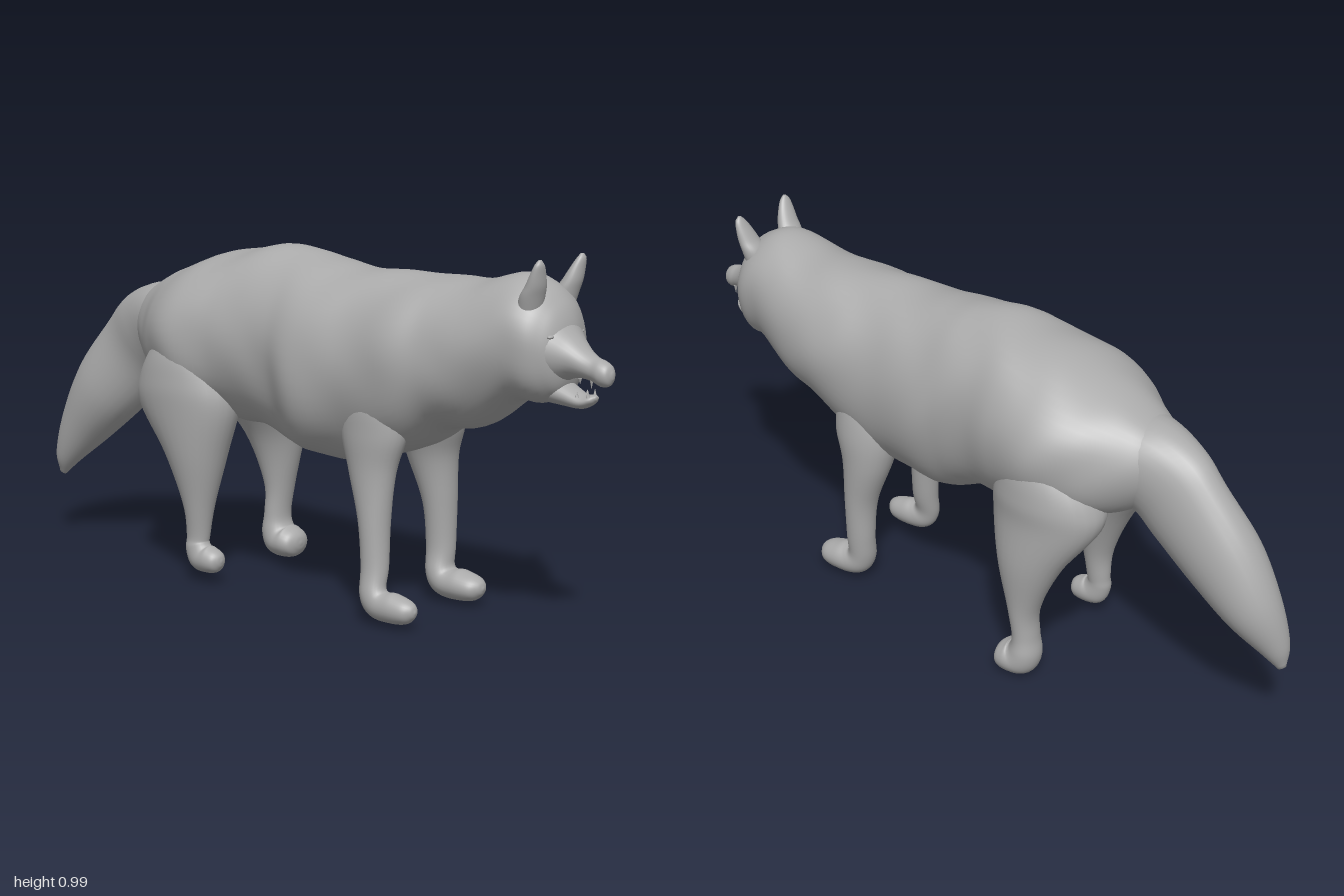
import * as THREE from 'three';

const fur = new THREE.MeshStandardMaterial({ color: 0xaaaaaa });
fur.name = 'grey fur';

const FLAT = Math.PI / 2; // ring tilt where a limb runs vertically

// Smooth skin over elliptical rings: [x, y, z, halfWidth, halfHeight, tilt]
// bump adds tufts of fur; full below 1 makes the lower half of each ring squarer
function loft(name, rings, { sides = 28, steps = 6, bump = 0, full = 1 } = {}) {
  const path = new THREE.CatmullRomCurve3(
    rings.map(r => new THREE.Vector3(r[0], r[1], r[2])), false, 'catmullrom', 0.5);
  const size = new THREE.CatmullRomCurve3(
    rings.map(r => new THREE.Vector3(r[3], r[4], r[5] || 0)), false, 'catmullrom', 0.5);
  const n = (rings.length - 1) * steps;
  const pos = [], index = [];
  for (let i = 0; i <= n; i++) {
    const c = path.getPoint(i / n), s = size.getPoint(i / n);
    for (let j = 0; j < sides; j++) {
      const a = (j / sides) * Math.PI * 2;
      const k = 1 + bump * (Math.sin(c.z * 31 + 2 * Math.sin(a * 3)) + Math.sin(a * 5 + c.z * 17));
      const cos = Math.cos(a), sin = Math.sin(a);
      const across = Math.sign(cos) * Math.abs(cos) ** (sin < 0 ? full : 1);
      const u = across * s.x * k, v = sin * s.y * k;
      pos.push(c.x + u, c.y + v * Math.cos(s.z), c.z + v * Math.sin(s.z));
    }
  }
  for (let i = 0; i < n; i++) {
    for (let j = 0; j < sides; j++) {
      const a = i * sides + j, b = i * sides + (j + 1) % sides;
      index.push(a, b, b + sides, a, b + sides, a + sides);
    }
  }
  // End caps
  [0, n].forEach(i => {
    const c = path.getPoint(i / n), centre = pos.length / 3;
    pos.push(c.x, c.y, c.z);
    for (let j = 0; j < sides; j++) {
      const a = i * sides + j, b = i * sides + (j + 1) % sides;
      if (i === 0) index.push(centre, b, a);
      else index.push(centre, a, b);
    }
  });
  // Turn the skin outward whichever way the rings run
  let volume = 0;
  const p = k => new THREE.Vector3().fromArray(pos, index[k] * 3);
  for (let k = 0; k < index.length; k += 3) volume += p(k).dot(p(k + 1).cross(p(k + 2)));
  if (volume < 0) index.reverse();

  const g = new THREE.BufferGeometry();
  g.setAttribute('position', new THREE.Float32BufferAttribute(pos, 3));
  g.setIndex(index);
  g.computeVertexNormals();
  const mesh = new THREE.Mesh(g, fur);
  mesh.name = name;
  return mesh;
}

// Vertical limb from rings [x, y, z, halfWidth, halfDepth], with an optional bent end
const limb = (name, rings, end = []) => loft(name, [...rings.map(r => [...r, FLAT]), ...end]);

// Paw rings that bend a leg forward: heel to toe along z, w and h are half sizes
const paw = (x, y, heel, toe, w, h) => [
  [0.18, 0.035, 0.88, 0.95, 1.25],
  [0.32, 0.006, 0.95, 1.1, 0.7],
  [0.6, 0, 1, 1, 0.12],
  [0.84, -0.002, 0.85, 0.8, 0],
  [0.96, 0, 0.45, 0.45, 0],
  [1, 0, 0.08, 0.08, 0],
].map(([t, dy, sw, sh, tilt]) => [x, y + dy, heel + (toe - heel) * t, w * sw, h * sh, tilt]);

export function createModel() {
  const wolf = new THREE.Group();
  wolf.name = 'wolf';

  // Head, neck and trunk, turned slightly to one side
  wolf.add(loft('body', [
    [-0.07, 0.745, 0.872, 0.02, 0.03],
    [-0.066, 0.75, 0.855, 0.07, 0.09],
    [-0.058, 0.758, 0.83, 0.108, 0.125],
    [-0.053, 0.767, 0.79, 0.14, 0.15],
    [-0.05, 0.775, 0.72, 0.155, 0.163],
    [-0.04, 0.725, 0.60, 0.18, 0.19],
    [-0.035, 0.71, 0.50, 0.195, 0.20],
    [-0.04, 0.68, 0.40, 0.21, 0.23],
    [-0.035, 0.655, 0.25, 0.208, 0.255],
    [-0.03, 0.655, 0.10, 0.228, 0.265],
    [-0.015, 0.675, 0.0, 0.215, 0.265],
    [-0.01, 0.695, -0.10, 0.218, 0.25],
    [0, 0.69, -0.20, 0.235, 0.24],
    [0, 0.685, -0.33, 0.258, 0.215],
    [0.008, 0.677, -0.44, 0.22, 0.183],
    [0.018, 0.675, -0.525, 0.16, 0.15],
    [0.025, 0.682, -0.60, 0.105, 0.103],
    [0.025, 0.68, -0.66, 0.045, 0.045],
  ], { sides: 48, steps: 8, bump: 0.008, full: 0.78 }));

  // Tail, rooted inside the rump
  wolf.add(loft('tail', [
    [0.015, 0.69, -0.42, 0.14, 0.12, -0.3],
    [0.02, 0.683, -0.54, 0.118, 0.131, -0.55],
    [0.025, 0.64, -0.635, 0.095, 0.137, -0.68],
    [0.03, 0.575, -0.705, 0.085, 0.133, -0.75],
    [0.022, 0.46, -0.815, 0.09, 0.115, -0.8],
    [0.018, 0.345, -0.905, 0.075, 0.08, -0.9],
    [0.0, 0.245, -0.965, 0.04, 0.04, -1.0],
    [-0.005, 0.19, -0.985, 0.01, 0.012, -1.0],
  ]));

  // Snout with nose
  wolf.add(loft('snout', [
    [-0.06, 0.765, 0.79, 0.125, 0.11],
    [-0.066, 0.757, 0.84, 0.09, 0.084],
    [-0.072, 0.745, 0.88, 0.06, 0.055],
    [-0.078, 0.731, 0.915, 0.043, 0.038],
    [-0.083, 0.72, 0.945, 0.034, 0.032],
    [-0.088, 0.713, 0.97, 0.032, 0.033],
    [-0.09, 0.71, 0.99, 0.024, 0.026],
    [-0.09, 0.71, 1.0, 0.006, 0.008],
  ]));

  // Lower jaw
  wolf.add(loft('lowerJaw', [
    [-0.06, 0.668, 0.77, 0.06, 0.045],
    [-0.066, 0.648, 0.85, 0.045, 0.031],
    [-0.073, 0.635, 0.905, 0.034, 0.019],
    [-0.077, 0.642, 0.935, 0.023, 0.013],
    [-0.078, 0.648, 0.948, 0.007, 0.005],
  ]));

  for (const side of [-1, 1]) {
    // Teeth: a fang above and below with smaller ones behind
    [[0.021, 0.685, 0.945, 0.026, true], [0.016, 0.659, 0.932, 0.02, false],
     [0.026, 0.69, 0.915, 0.016, true], [0.024, 0.656, 0.905, 0.014, false]].forEach(([dx, y, z, h, down]) => {
      const tooth = new THREE.Mesh(new THREE.ConeGeometry(0.005, h, 8), fur);
      tooth.name = 'tooth';
      tooth.position.set(-0.08 + side * dx, y, z);
      if (down) tooth.rotation.x = Math.PI;
      wolf.add(tooth);
    });

    // Ears
    const x = d => -0.056 + side * d;
    wolf.add(limb(side > 0 ? 'leftEar' : 'rightEar', [
      [x(0.072), 0.84, 0.775, 0.034, 0.03],
      [x(0.078), 0.89, 0.788, 0.037, 0.03],
      [x(0.083), 0.92, 0.802, 0.033, 0.024],
      [x(0.089), 0.95, 0.812, 0.026, 0.017],
      [x(0.094), 0.973, 0.819, 0.017, 0.011],
      [x(0.095), 0.986, 0.821, 0.005, 0.004],
    ]));

    // Eyes
    const eye = new THREE.Mesh(new THREE.SphereGeometry(0.01, 16, 12), fur);
    eye.name = side > 0 ? 'leftEye' : 'rightEye';
    eye.scale.set(1.2, 0.5, 0.8);
    eye.position.set(-0.07 + side * 0.068, 0.797, 0.847);
    wolf.add(eye);
  }

  // Front legs
  wolf.add(limb('leftFrontLeg', [
    [0.035, 0.72, 0.33, 0.06, 0.06],
    [0.06, 0.60, 0.33, 0.085, 0.09],
    [0.08, 0.50, 0.325, 0.085, 0.10],
    [0.097, 0.40, 0.32, 0.067, 0.074],
    [0.105, 0.27, 0.34, 0.05, 0.047],
    [0.105, 0.15, 0.345, 0.041, 0.041],
  ], paw(0.096, 0.05, 0.318, 0.494, 0.049, 0.042)));
  wolf.add(limb('rightFrontLeg', [
    [-0.115, 0.72, 0.33, 0.06, 0.06],
    [-0.145, 0.60, 0.33, 0.08, 0.09],
    [-0.165, 0.50, 0.325, 0.066, 0.098],
    [-0.175, 0.40, 0.325, 0.052, 0.07],
    [-0.185, 0.27, 0.34, 0.044, 0.044],
    [-0.195, 0.15, 0.35, 0.037, 0.038],
  ], paw(-0.21, 0.05, 0.325, 0.495, 0.039, 0.04)));

  // Hind legs, with broad thighs meeting under the rump
  wolf.add(limb('leftHindLeg', [
    [0.12, 0.76, -0.33, 0.06, 0.06],
    [0.145, 0.66, -0.335, 0.10, 0.11],
    [0.145, 0.57, -0.345, 0.117, 0.16],
    [0.155, 0.49, -0.345, 0.104, 0.16],
    [0.193, 0.36, -0.318, 0.07, 0.097],
    [0.2, 0.22, -0.305, 0.048, 0.046],
    [0.197, 0.13, -0.31, 0.044, 0.036],
  ], paw(0.197, 0.046, -0.33, -0.222, 0.057, 0.047)));
  wolf.add(limb('rightHindLeg', [
    [-0.12, 0.76, -0.33, 0.06, 0.06],
    [-0.145, 0.66, -0.335, 0.10, 0.11],
    [-0.144, 0.57, -0.34, 0.117, 0.155],
    [-0.152, 0.49, -0.335, 0.106, 0.16],
    [-0.16, 0.36, -0.305, 0.08, 0.095],
    [-0.165, 0.22, -0.292, 0.046, 0.046],
    [-0.165, 0.13, -0.295, 0.032, 0.034],
  ], paw(-0.168, 0.065, -0.315, -0.207, 0.037, 0.038)));

  return wolf;
}
